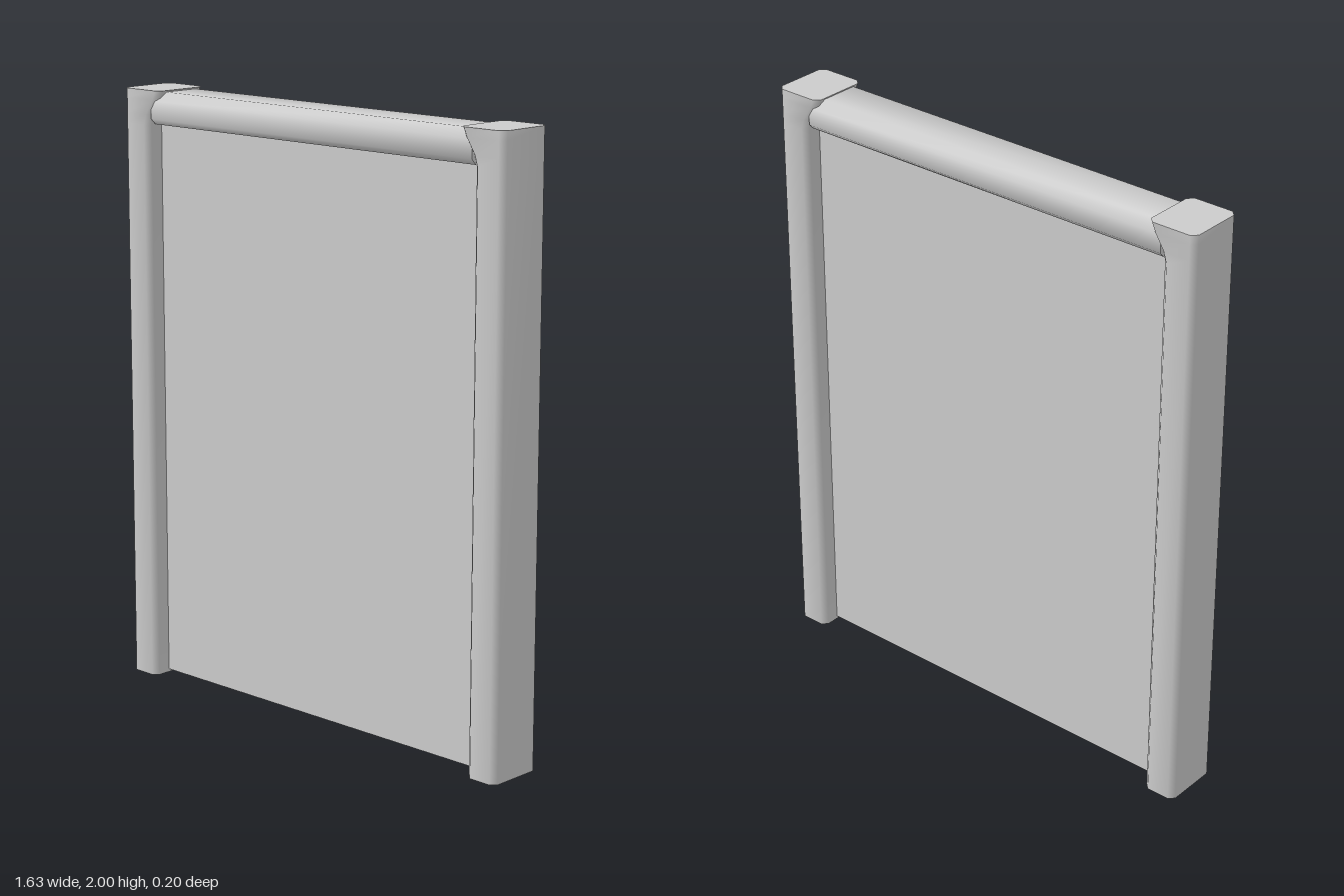
import * as THREE from 'three';
import { toCreasedNormals } from 'three/addons/utils/BufferGeometryUtils.js';

const material = new THREE.MeshStandardMaterial({ color: 0xcccccc });
const CREASE = 0.9;

// Rectangle outline with its own chamfer at the top and bottom corners, counter-clockwise
function chamferedRect(x0, x1, y0, y1, low, high) {
  return [
    [x0 + low, y0], [x1 - low, y0], [x1, y0 + low], [x1, y1 - high],
    [x1 - high, y1], [x0 + high, y1], [x0, y1 - high], [x0, y0 + low],
  ];
}

// Post: chamfered cross-sections stacked upward, the inner side flaring into a corner block
function postGeometry() {
  const outer = 0.815, depth = 0.102, chamfer = 0.018;
  const levels = [[0, 0.70], [1.885, 0.70], [1.92, 0.69], [1.97, 0.658], [2, 0.645]]; // [y, inner x]
  const rings = levels.map(([y, inner]) =>
    chamferedRect(inner, outer, -depth, depth, chamfer, chamfer)
      .map(([x, d]) => [x, y, -d]));
  const n = rings[0].length;
  const index = [];
  for (let k = 0; k < rings.length - 1; k++) {
    for (let i = 0; i < n; i++) {
      const a = k * n + i, b = k * n + (i + 1) % n;
      index.push(a, b, b + n, a, b + n, a + n);
    }
  }
  const top = (rings.length - 1) * n;
  for (let i = 1; i < n - 1; i++) {
    index.push(top, top + i, top + i + 1);
    index.push(0, i + 1, i);
  }
  const geometry = new THREE.BufferGeometry();
  geometry.setAttribute('position', new THREE.Float32BufferAttribute(rings.flat(2), 3));
  geometry.setIndex(index);
  return toCreasedNormals(geometry, CREASE);
}

// Lintel: profile with softened upper edges, run between the corner blocks
function lintelGeometry() {
  const length = 1.38;
  const profile = chamferedRect(-0.095, 0.095, 1.888, 1.995, 0.018, 0.03);
  const shape = new THREE.Shape(profile.map(([x, y]) => new THREE.Vector2(x, y)));
  const geometry = new THREE.ExtrudeGeometry(shape, { depth: length, bevelEnabled: false });
  geometry.translate(0, 0, -length / 2).rotateY(Math.PI / 2);
  return toCreasedNormals(geometry, CREASE);
}

export function createModel() {
  const group = new THREE.Group();
  group.name = 'framedDoor';
  const add = (name, geometry) => {
    const mesh = new THREE.Mesh(geometry, material);
    mesh.name = name;
    group.add(mesh);
    return mesh;
  };

  // Frame: the same post turned half round for the other side
  const post = postGeometry();
  add('leftPost', post);
  add('rightPost', post).rotation.y = Math.PI;
  add('lintel', lintelGeometry());

  // Door panel set back inside the frame
  add('doorPanel', new THREE.BoxGeometry(1.42, 1.89, 0.08)).position.y = 0.01 + 1.89 / 2;

  return group;
}
